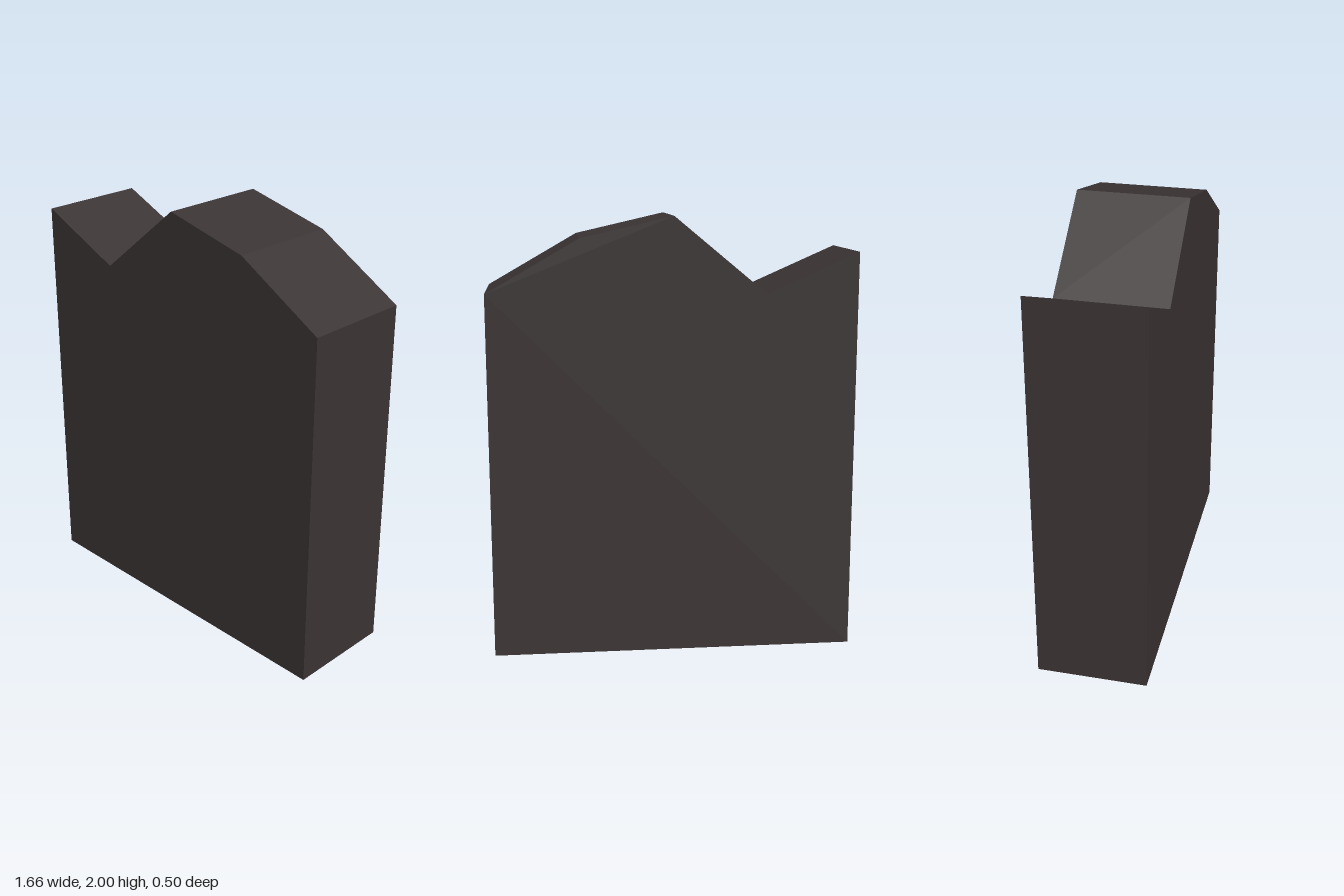
import * as THREE from 'three';

export function createModel() {
  const group = new THREE.Group();
  group.name = 'brokenWall';

  const darkStone = new THREE.MeshStandardMaterial({ color: 0x3b3434 });
  darkStone.name = 'darkStone';

  // Slab outline with a jagged broken top edge
  const depth = 0.505;
  const outline = new THREE.Shape([
    [-0.83, 0], [0.83, 0], [0.83, 1.667], [0.415, 1.905],
    [0, 2], [-0.415, 1.657], [-0.83, 1.84],
  ].map(([x, y]) => new THREE.Vector2(x, y)));

  const geometry = new THREE.ExtrudeGeometry(outline, { depth, bevelEnabled: false });
  geometry.translate(0, 0, -depth / 2);

  const slab = new THREE.Mesh(geometry, darkStone);
  slab.name = 'wallSlab';
  group.add(slab);
  return group;
}
